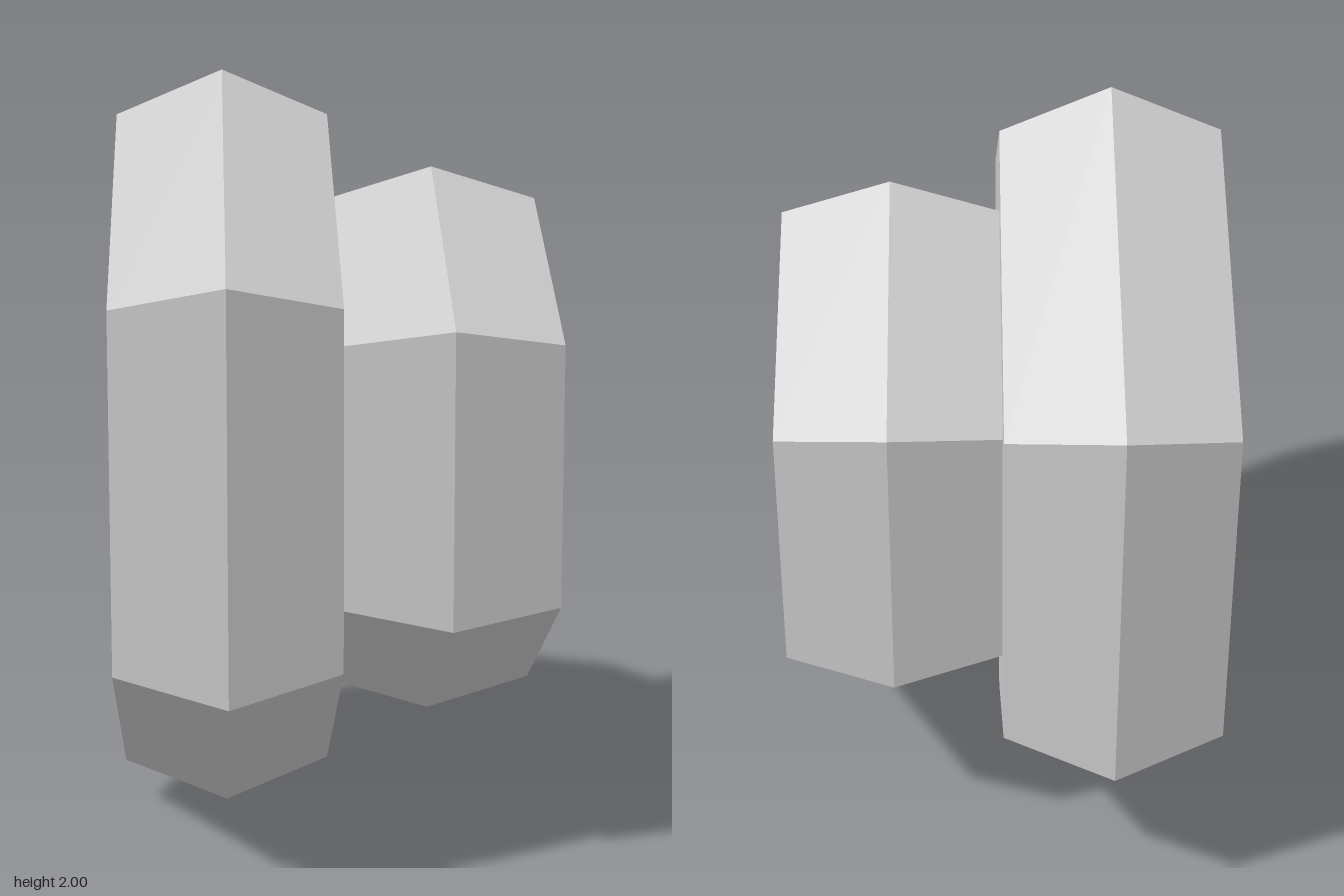
import * as THREE from 'three';

const SIDES = 6;

// Thin hexagonal shell around the x axis, from [x, radius] profile points.
function hexShell(name, profile) {
  const points = profile.map(([x, r]) => new THREE.Vector2(r, x));
  // Starting at a quarter turn puts corners at the top and bottom.
  const geometry = new THREE.LatheGeometry(points, SIDES, Math.PI / 2).toNonIndexed();
  geometry.rotateZ(-Math.PI / 2); // lathe axis y -> x
  geometry.computeVertexNormals();
  const material = new THREE.MeshStandardMaterial({
    color: 0xcccccc, flatShading: true, side: THREE.DoubleSide,
  });
  const mesh = new THREE.Mesh(geometry, material);
  mesh.name = name;
  mesh.position.y = 1;
  return mesh;
}

export function createModel() {
  const group = new THREE.Group();
  group.name = 'steppedHexCoupling';

  // Large bulging collar, open at its outer end, with a step face at x = 0
  group.add(hexShell('largeCollar', [
    [-0.556, 0.883], [-0.278, 1], [0, 0.883], [0, 0.66],
  ]));

  // Small bulging collar, opening into the large one, with a holed end face
  group.add(hexShell('smallCollar', [
    [0, 0.66], [0.278, 0.745], [0.556, 0.66], [0.556, 0.44],
  ]));

  return group;
}
